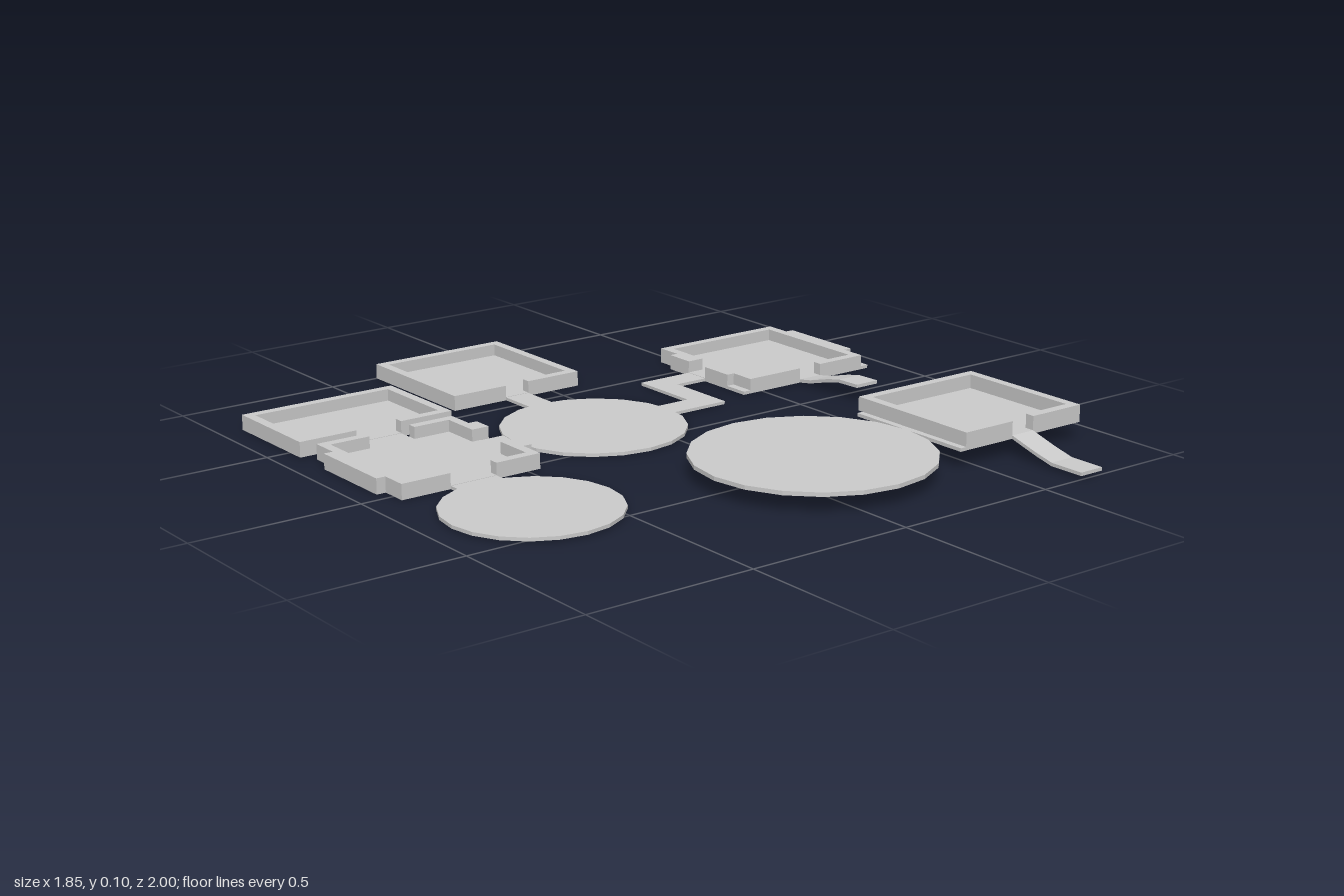
import * as THREE from 'three';

const grey = new THREE.MeshStandardMaterial({ color: 0xcccccc, flatShading: true });
const WALL = 0.028;

function add(parent, name, geometry) {
  const mesh = new THREE.Mesh(geometry, grey);
  mesh.name = name;
  parent.add(mesh);
  return mesh;
}

// Box given by its extents
function block(parent, name, x0, x1, y0, y1, z0, z1) {
  const m = add(parent, name, new THREE.BoxGeometry(x1 - x0, y1 - y0, z1 - z0));
  m.position.set((x0 + x1) / 2, (y0 + y1) / 2, (z0 + z1) / 2);
}

function disc(parent, name, x, z, r, y0, y1) {
  const m = add(parent, name, new THREE.CylinderGeometry(r, r, y1 - y0, 20));
  m.position.set(x, (y0 + y1) / 2, z);
}

// Splits a wall's run [a, b] around an optional door [from, to]
const runs = (a, b, door) => (door ? [[a, door[0]], [door[1], b]] : [[a, b]]);

// Open-topped room: floor slab and four walls, each with an optional doorway
function room(parent, name, { x: [x0, x1], z: [z0, z1], y = 0, top = 0.045, floor, doors = {} }) {
  const g = new THREE.Group();
  g.name = name;
  parent.add(g);
  const f = floor || [x0, x1, z0, z1];
  const ft = y + 0.01;
  block(g, 'floor', f[0], f[1], y, ft, f[2], f[3]);
  for (const [a, b] of runs(x0, x1, doors.back)) block(g, 'backWall', a, b, ft, top, z0, z0 + WALL);
  for (const [a, b] of runs(x0, x1, doors.front)) block(g, 'frontWall', a, b, ft, top, z1 - WALL, z1);
  for (const [a, b] of runs(z0 + WALL, z1 - WALL, doors.minX)) block(g, 'rightWall', x0, x0 + WALL, ft, top, a, b);
  for (const [a, b] of runs(z0 + WALL, z1 - WALL, doors.plusX)) block(g, 'leftWall', x1 - WALL, x1, ft, top, a, b);
  return g;
}

// Thin bent strip following a side profile of [z, y] points along its top
function ramp(parent, name, x0, x1, profile) {
  const s = new THREE.Shape();
  profile.forEach(([z, y], i) => (i ? s.lineTo(-z, y) : s.moveTo(-z, y)));
  [...profile].reverse().forEach(([z, y]) => s.lineTo(-z, y - 0.01));
  const geo = new THREE.ExtrudeGeometry(s, { depth: x1 - x0, bevelEnabled: false });
  geo.rotateY(Math.PI / 2);
  add(parent, name, geo).position.x = x0;
}

export function createModel() {
  const model = new THREE.Group();
  model.name = 'floorPlan';

  // Round halls
  disc(model, 'centralHall', -0.125, -0.175, 0.27, 0, 0.01);
  disc(model, 'smallHall', -0.68, 0.32, 0.247, 0.005, 0.015);
  disc(model, 'raisedHall', 0.1, 0.522, 0.342, 0.048, 0.06);

  // Linked pair of rooms on the -x side
  room(model, 'wideRoom', { x: [-0.928, -0.433], z: [-0.772, -0.443], doors: { front: [-0.748, -0.602] } });
  const hub = room(model, 'hubRoom', {
    x: [-0.9, -0.46], z: [-0.4, 0.04],
    doors: { back: [-0.748, -0.602], front: [-0.748, -0.602], plusX: [-0.252, -0.11] },
  });
  block(hub, 'outerWall', -0.928, -0.9, 0, 0.045, -0.312, -0.04);
  block(hub, 'outerWall', -0.46, -0.433, 0, 0.045, -0.312, -0.252);
  block(hub, 'outerWall', -0.46, -0.433, 0, 0.045, -0.11, -0.04);

  // Back room
  room(model, 'backRoom', { x: [-0.345, 0.096], z: [-1, -0.562], doors: { front: [-0.165, -0.085] } });

  // Side room with thickened side walls and a wider floor
  const side = room(model, 'sideRoom', {
    x: [0.455, 0.897], z: [-0.617, -0.178],
    doors: { minX: [-0.445, -0.365], front: [0.65, 0.73] },
  });
  block(side, 'floorEdge', 0.43, 0.455, 0, 0.01, -0.537, -0.178);
  block(side, 'floorEdge', 0.897, 0.923, 0, 0.01, -0.537, -0.178);
  block(side, 'outerWall', 0.43, 0.455, 0.01, 0.045, -0.537, -0.445);
  block(side, 'outerWall', 0.43, 0.455, 0.01, 0.045, -0.365, -0.257);
  block(side, 'outerWall', 0.897, 0.923, 0.01, 0.045, -0.537, -0.257);

  // Raised room at the front
  room(model, 'raisedRoom', {
    x: [0.46, 0.9], z: [0.3, 0.738], y: 0.05, top: 0.101,
    floor: [0.44, 0.9, 0.318, 0.738], doors: { front: [0.635, 0.715] },
  });

  // Flat corridors: [x0, x1, z0, z1]
  const corridors = [
    [-0.748, -0.602, -0.443, -0.4],
    [-0.748, -0.602, 0.04, 0.085],
    [-0.46, -0.385, -0.252, -0.11],
    [-0.165, -0.085, -0.562, -0.43],
    [0.13, 0.325, -0.218, -0.138],
    [0.248, 0.325, -0.365, -0.218],
    [0.248, 0.455, -0.445, -0.365],
  ];
  for (const [x0, x1, z0, z1] of corridors) block(model, 'corridor', x0, x1, 0, 0.009, z0, z1);

  // Curved ramps between the two levels
  ramp(model, 'upperRamp', 0.65, 0.73, [[-0.178, 0.01], [-0.13, 0.018], [-0.05, 0.04], [0, 0.05], [0.08, 0.052]]);
  ramp(model, 'lowerRamp', 0.635, 0.715, [[0.738, 0.06], [0.78, 0.048], [0.83, 0.034], [0.89, 0.02], [1, 0.02]]);

  return model;
}
